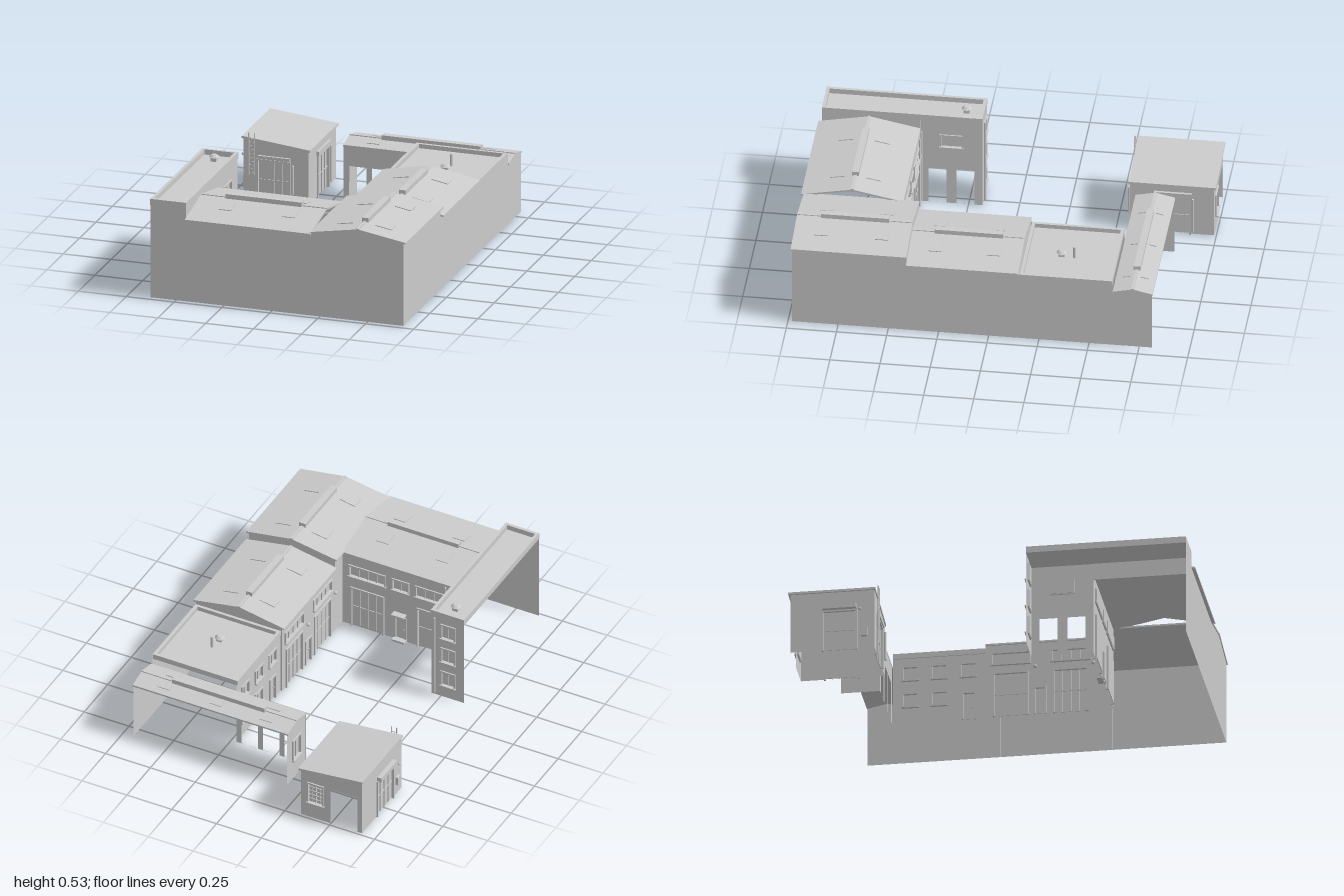
import * as THREE from 'three';

const mat = new THREE.MeshStandardMaterial({ color: 0xcccccc, flatShading: true, side: THREE.DoubleSide });

function add(parent, name, geo, x = 0, y = 0, z = 0) {
  const m = new THREE.Mesh(geo, mat);
  m.name = name;
  m.position.set(x, y, z);
  parent.add(m);
  return m;
}
// box given by its centre and size
const box = (p, name, x, y, z, w, h, d) => add(p, name, new THREE.BoxGeometry(w, h, d), x, y, z);
const pipe = (p, name, x, y0, y1, z, r) =>
  add(p, name, new THREE.CylinderGeometry(r, r, y1 - y0, 10), x, (y0 + y1) / 2, z);

// frame, panel and bars of one opening, in wall coordinates
function fillOpening(g, [kind, u, y, w, h]) {
  const cx = u + w / 2, cy = y + h / 2, t = 0.008;
  if (kind === 'open') return;
  box(g, kind + 'Panel', cx, cy, -0.008, w, h, 0.003);
  for (const s of [-1, 1]) box(g, kind + 'Jamb', cx + s * w / 2, cy, 0, t, h + t, 0.014);
  box(g, kind + 'Head', cx, y + h, 0, w, t, 0.014);
  if (kind === 'window' || kind === 'lattice') {
    box(g, 'sill', cx, y, 0.003, w + 0.012, t, 0.02);
    const nx = kind === 'lattice' ? 4 : Math.max(2, Math.round(w / 0.05));
    const ny = kind === 'lattice' ? 5 : 1;
    for (let i = 1; i < nx; i++) box(g, 'mullion', u + w * i / nx, cy, -0.004, 0.004, h, 0.006);
    for (let i = 1; i < ny; i++) box(g, 'glazingBar', cx, y + h * i / ny, -0.004, w, 0.004, 0.006);
  } else if (kind === 'gate') {
    for (let i = 1; i < 4; i++) box(g, 'gateRib', u + w * i / 4, cy, -0.005, 0.004, h, 0.005);
    box(g, 'gateRail', cx, y + h * 0.5, -0.005, w, 0.005, 0.005);
  } else {
    box(g, 'doorHandle', u + w * 0.8, y + h * 0.45, -0.003, 0.006, 0.006, 0.008);
  }
}

// thin wall from a to b (x, z); its outside is on the right-hand side of travel
function wall(p, name, a, b, height, openings = [], peak = 0) {
  const dx = b[0] - a[0], dz = b[1] - a[1], len = Math.hypot(dx, dz);
  const h1 = Array.isArray(height) ? height[1] : height, h0 = Array.isArray(height) ? height[0] : height;
  const g = new THREE.Group();
  g.name = name;
  g.position.set(a[0], 0, a[1]);
  g.rotation.y = -Math.atan2(dz, dx);
  const s = new THREE.Shape();
  s.moveTo(0, 0).lineTo(len, 0).lineTo(len, h1);
  if (peak) s.lineTo(len / 2, peak);
  s.lineTo(0, h0).closePath();
  // openings down to the ground become notches just above it
  for (const [, u, y, w, h] of openings) {
    const y0 = Math.max(y, 0.0005), hole = new THREE.Path();
    hole.moveTo(u, y0).lineTo(u, y + h).lineTo(u + w, y + h).lineTo(u + w, y0).closePath();
    s.holes.push(hole);
  }
  add(g, name + 'Sheet', new THREE.ShapeGeometry(s));
  openings.forEach(o => fillOpening(g, o));
  p.add(g);
  return g;
}

// pitched roof with ridge vent and skylights; the ridge runs along local z
function gableRoof(p, name, cx, cz, len, half, eave, ridge, alongX, vent, lights, off) {
  const g = new THREE.Group(), t = 0.009;
  g.name = name;
  g.position.set(cx, 0, cz);
  if (alongX) g.rotation.y = Math.PI / 2;
  const s = new THREE.Shape();
  s.moveTo(-half, eave).lineTo(0, ridge).lineTo(half, eave).lineTo(half, eave - t)
    .lineTo(0, ridge - t).lineTo(-half, eave - t).closePath();
  add(g, 'roofSlab', new THREE.ExtrudeGeometry(s, { depth: len, bevelEnabled: false }), 0, 0, -len / 2);
  box(g, 'ridgeCap', 0, ridge, 0, 0.014, 0.006, len);
  box(g, 'ridgeVent', 0, ridge + 0.007, (vent[0] + vent[1]) / 2, 0.034, 0.026, vent[1] - vent[0]);
  const slope = Math.atan2(ridge - eave, half);
  for (const z of lights) for (const side of [-1, 1]) {
    const m = box(g, 'skylight', side * off, ridge - off * Math.tan(slope), z, off * 0.85, 0.008, 0.065);
    m.rotation.z = -side * slope;
  }
  p.add(g);
}

// flat roof behind a parapet with coping
function flatRoof(p, name, x0, x1, z0, z1, top, drop) {
  const g = new THREE.Group(), t = 0.016, w = x1 - x0, d = z1 - z0, cx = (x0 + x1) / 2, cz = (z0 + z1) / 2;
  g.name = name;
  box(g, 'roofDeck', cx, top - drop, cz, w, 0.006, d);
  for (const s of [-1, 1]) {
    box(g, 'parapet', cx + s * (w - t) / 2, top - drop / 2, cz, t, drop, d);
    box(g, 'parapet', cx, top - drop / 2, cz + s * (d - t) / 2, w, drop, t);
  }
  p.add(g);
}

function roofVent(p, x, y, z) {
  box(p, 'roofVentBase', x, y + 0.012, z, 0.03, 0.024, 0.03);
  add(p, 'roofVentCap', new THREE.CylinderGeometry(0.014, 0.027, 0.012, 8), x, y + 0.029, z);
}

export function createModel() {
  const g = new THREE.Group();
  g.name = 'courtyardWorkshops';

  // blind outer walls
  wall(g, 'towerFrontWall', [-0.63, 0.98], [-0.445, 0.98], 0.515);
  wall(g, 'frontHallOuterWall', [-0.445, 0.98], [0.21, 0.98], 0.43);
  wall(g, 'cornerHallFrontWall', [0.21, 0.98], [0.69, 0.98], 0.43, [], 0.472);
  wall(g, 'cornerHallSideWall', [0.69, 0.98], [0.69, 0.41], 0.43);
  wall(g, 'sideHallOuterWall', [0.69, 0.41], [0.69, -0.15], 0.385);
  wall(g, 'officeOuterWall', [0.69, -0.15], [0.69, -0.615], 0.375);
  wall(g, 'shedEndWall', [0.69, -0.615], [0.69, -0.815], 0.31, [], 0.335);

  // tower
  wall(g, 'towerBackWall', [-0.45, 0.18], [-0.63, 0.18], 0.515,
    [0.07, 0.215, 0.36].map(y => ['window', 0.055, y, 0.075, 0.085]));
  wall(g, 'towerCourtWall', [-0.45, 0.49], [-0.45, 0.18], 0.515,
    [['open', 0.04, 0, 0.09, 0.2], ['open', 0.18, 0, 0.09, 0.2], ['window', 0.1, 0.33, 0.11, 0.07]]);
  box(g, 'towerUpperWall', -0.45, 0.455, 0.735, 0.006, 0.12, 0.49);
  flatRoof(g, 'towerRoof', -0.632, -0.445, 0.18, 0.98, 0.515, 0.03);
  roofVent(g, -0.54, 0.487, 0.27);
  pipe(g, 'towerDrainpipe', -0.472, 0.02, 0.48, 0.17, 0.006);

  // front hall
  wall(g, 'frontHallCourtWall', [0.21, 0.49], [-0.45, 0.49], 0.43, [
    ['gate', 0.05, 0, 0.18, 0.23], ['window', 0.04, 0.3, 0.2, 0.065],
    ['door', 0.295, 0, 0.06, 0.14], ['window', 0.28, 0.3, 0.09, 0.065],
    ['gate', 0.42, 0, 0.18, 0.23], ['window', 0.41, 0.3, 0.2, 0.065]]);
  box(g, 'doorCanopy', -0.115, 0.165, 0.47, 0.07, 0.008, 0.035);
  box(g, 'doorStep', -0.115, 0.006, 0.475, 0.07, 0.012, 0.03);
  for (const x of [-0.37, -0.435]) pipe(g, 'courtDrainpipe', x, 0.02, 0.42, 0.482, 0.005);
  gableRoof(g, 'frontHallRoof', -0.118, 0.743, 0.655, 0.255, 0.433, 0.483, true, [-0.195, 0.2], [-0.16, 0.17], 0.09);

  // corner hall and side hall
  gableRoof(g, 'cornerHallRoof', 0.452, 0.697, 0.575, 0.252, 0.437, 0.48, false, [-0.172, 0.168], [-0.15, 0.15], 0.1);
  wall(g, 'cornerHallGable', [0.69, 0.41], [0.21, 0.41], 0.43, [['open', 0.01, 0, 0.46, 0.375]], 0.472);
  wall(g, 'cornerHallCourtWall', [0.21, 0.41], [0.21, 0.49], 0.43);
  gableRoof(g, 'sideHallRoof', 0.452, 0.13, 0.56, 0.253, 0.39, 0.437, false, [-0.172, 0.168], [-0.14, 0.15], 0.1);
  wall(g, 'sideHallGable', [0.69, -0.15], [0.21, -0.15], 0.385, [['open', 0.01, 0, 0.46, 0.335]], 0.43);
  wall(g, 'sideHallCourtWall', [0.21, -0.15], [0.21, 0.41], 0.385, [
    ['gate', 0.04, 0, 0.17, 0.23], ['window', 0.03, 0.275, 0.19, 0.065],
    ['door', 0.245, 0, 0.055, 0.14],
    ['gate', 0.34, 0, 0.17, 0.23], ['window', 0.33, 0.275, 0.19, 0.065]]);
  for (const z of [0.1, 0.39]) add(g, 'wallLamp', new THREE.SphereGeometry(0.01, 10, 8), 0.195, 0.25, z);

  // flat-roofed office
  wall(g, 'officeCourtWall', [0.22, -0.615], [0.22, -0.15], 0.375, [
    ...[0.05, 0.195, 0.34].map(u => ['window', u, 0.225, 0.075, 0.075]),
    ...[0.05, 0.195].map(u => ['window', u, 0.08, 0.075, 0.075]), ['door', 0.35, 0, 0.06, 0.14]]);
  flatRoof(g, 'officeRoof', 0.215, 0.688, -0.615, -0.155, 0.375, 0.025);
  roofVent(g, 0.46, 0.348, -0.335);
  pipe(g, 'fluePipe', 0.47, 0.35, 0.415, -0.4, 0.007);

  // rear shed, open at the back, with bays towards the court
  wall(g, 'shedCourtWall', [-0.17, -0.62], [0.22, -0.62], 0.312,
    [0.03, 0.15, 0.27].map(u => ['open', u, 0, 0.09, 0.21]));
  wall(g, 'shedWestWall', [-0.165, -0.815], [-0.165, -0.62], 0.31, [['window', 0.06, 0.11, 0.08, 0.12]], 0.335);
  gableRoof(g, 'shedRoof', 0.262, -0.718, 0.865, 0.099, 0.318, 0.34, true, [-0.26, 0.257], [-0.29, -0.01, 0.28], 0.045);

  // gatehouse with lean-to roof
  const hi = 0.315, lo = 0.277;
  wall(g, 'gatehouseFrontWall', [-0.675, -0.57], [-0.335, -0.57], [hi, lo],
    [['gate', 0.075, 0, 0.17, 0.21]]);
  wall(g, 'gatehouseEastWall', [-0.335, -0.57], [-0.335, -0.99], lo, [['gate', 0.13, 0, 0.17, 0.21]]);
  wall(g, 'gatehouseBackWall', [-0.335, -0.99], [-0.675, -0.99], [lo, hi],
    [['lattice', 0.04, 0.09, 0.085, 0.12], ['open', 0.165, 0, 0.15, 0.21]]);
  wall(g, 'gatehouseWestWall', [-0.675, -0.99], [-0.675, -0.57], hi, [['gate', 0.16, 0, 0.17, 0.21]]);
  const roof = new THREE.Shape();
  roof.moveTo(-0.682, 0.325).lineTo(-0.325, 0.287).lineTo(-0.325, 0.275).lineTo(-0.682, 0.313).closePath();
  add(g, 'gatehouseRoof', new THREE.ExtrudeGeometry(roof, { depth: 0.435, bevelEnabled: false }), 0, 0, -1);
  box(g, 'westCanopy', -0.688, 0.228, -0.745, 0.024, 0.024, 0.17);
  box(g, 'eastCanopy', -0.33, 0.228, -0.785, 0.016, 0.024, 0.19);
  box(g, 'frontCanopy', -0.515, 0.225, -0.565, 0.17, 0.016, 0.014);
  box(g, 'meterBox', -0.682, 0.085, -0.62, 0.016, 0.045, 0.03);
  add(g, 'westLamp', new THREE.SphereGeometry(0.008, 10, 8), -0.7, 0.205, -0.64);
  pipe(g, 'gatehouseDrainpipe', -0.412, 0.05, 0.2, -0.556, 0.006);
  pipe(g, 'eastDrainpipe', -0.325, 0.02, 0.21, -0.885, 0.006);

  // roof ladder
  for (const x of [-0.642, -0.612]) pipe(g, 'ladderRail', x, 0.13, 0.35, -0.556, 0.003);
  for (let i = 0; i < 10; i++) box(g, 'ladderRung', -0.627, 0.14 + i * 0.02, -0.556, 0.03, 0.003, 0.003);

  return g;
}
